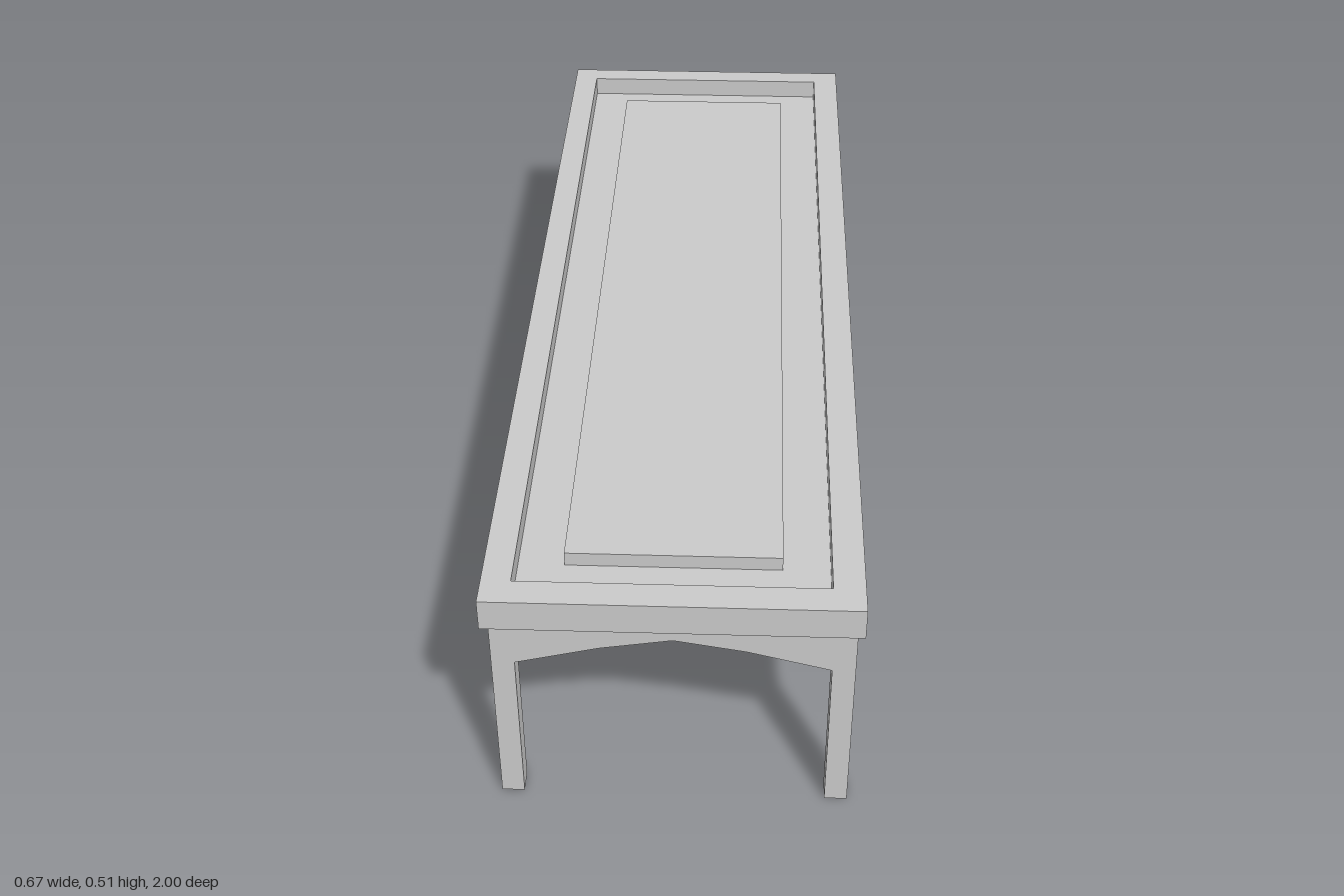
import * as THREE from 'three';

const LEG = 0.042;        // leg and apron thickness
const APRON_TOP = 0.447;  // underside of the tray
const LEG_X = 0.302;      // leg centre line
const LEG_Z = [0.946, -0.014, -0.966];

export function createModel() {
  const model = new THREE.Group();
  const material = new THREE.MeshStandardMaterial({ color: 0xcccccc, flatShading: true });

  function add(name, geometry, x = 0, y = 0, z = 0, rotY = 0) {
    const mesh = new THREE.Mesh(geometry, material);
    mesh.name = name;
    mesh.position.set(x, y, z);
    mesh.rotation.y = rotY;
    model.add(mesh);
  }

  // Box given by its bounds
  function slab(name, x0, x1, y0, y1, z0, z1) {
    add(name, new THREE.BoxGeometry(x1 - x0, y1 - y0, z1 - z0),
      (x0 + x1) / 2, (y0 + y1) / 2, (z0 + z1) / 2);
  }

  // Arched board: straight top edge, faceted arch below, centred in its thickness
  function archBoard(arch) {
    const shape = new THREE.Shape();
    shape.moveTo(arch[0][0], APRON_TOP);
    arch.forEach(([u, y]) => shape.lineTo(u, y));
    shape.lineTo(arch[arch.length - 1][0], APRON_TOP);
    const geometry = new THREE.ExtrudeGeometry(shape, { depth: LEG, bevelEnabled: false });
    return geometry.translate(0, 0, -LEG / 2);
  }

  // Tray rim with a rectangular opening
  const rim = new THREE.Shape();
  rim.moveTo(-0.333, -1).lineTo(0.333, -1).lineTo(0.333, 1).lineTo(-0.333, 1).closePath();
  const opening = new THREE.Path();
  opening.moveTo(-0.28, -0.945).lineTo(-0.28, 0.95).lineTo(0.276, 0.95).lineTo(0.276, -0.945).closePath();
  rim.holes.push(opening);
  const rimGeometry = new THREE.ExtrudeGeometry(rim, { depth: 0.51 - APRON_TOP, bevelEnabled: false });
  rimGeometry.rotateX(-Math.PI / 2);
  add('trayRim', rimGeometry, 0, APRON_TOP, 0);

  // Recessed floor and raised panel
  slab('trayFloor', -0.28, 0.276, APRON_TOP, 0.468, -0.95, 0.945);
  slab('raisedPanel', -0.197, 0.191, 0.468, 0.496, -0.86, 0.855);

  // Three pairs of legs, each joined by a cross apron
  const crossArch = archBoard([[-0.281, 0.335], [-0.13, 0.375], [0, 0.398], [0.13, 0.375], [0.281, 0.335]]);
  for (const z of LEG_Z) {
    for (const side of [-1, 1]) {
      add('leg', new THREE.BoxGeometry(LEG, APRON_TOP, LEG), side * LEG_X, APRON_TOP / 2, z);
    }
    add('crossApron', crossArch, 0, 0, z);
  }

  // Two arched bays along each long side, listed by z
  const bays = [
    [[-0.945, 0.335], [-0.695, 0.376], [-0.44, 0.399], [-0.198, 0.376], [-0.035, 0.335]],
    [[0.007, 0.335], [0.246, 0.376], [0.497, 0.399], [0.743, 0.376], [0.925, 0.335]],
  ];
  for (const bay of bays) {
    const geometry = archBoard(bay);
    // Turn the board so that its length runs along +z
    for (const side of [-1, 1]) add('sideApron', geometry, side * LEG_X, 0, 0, -Math.PI / 2);
  }

  return model;
}
